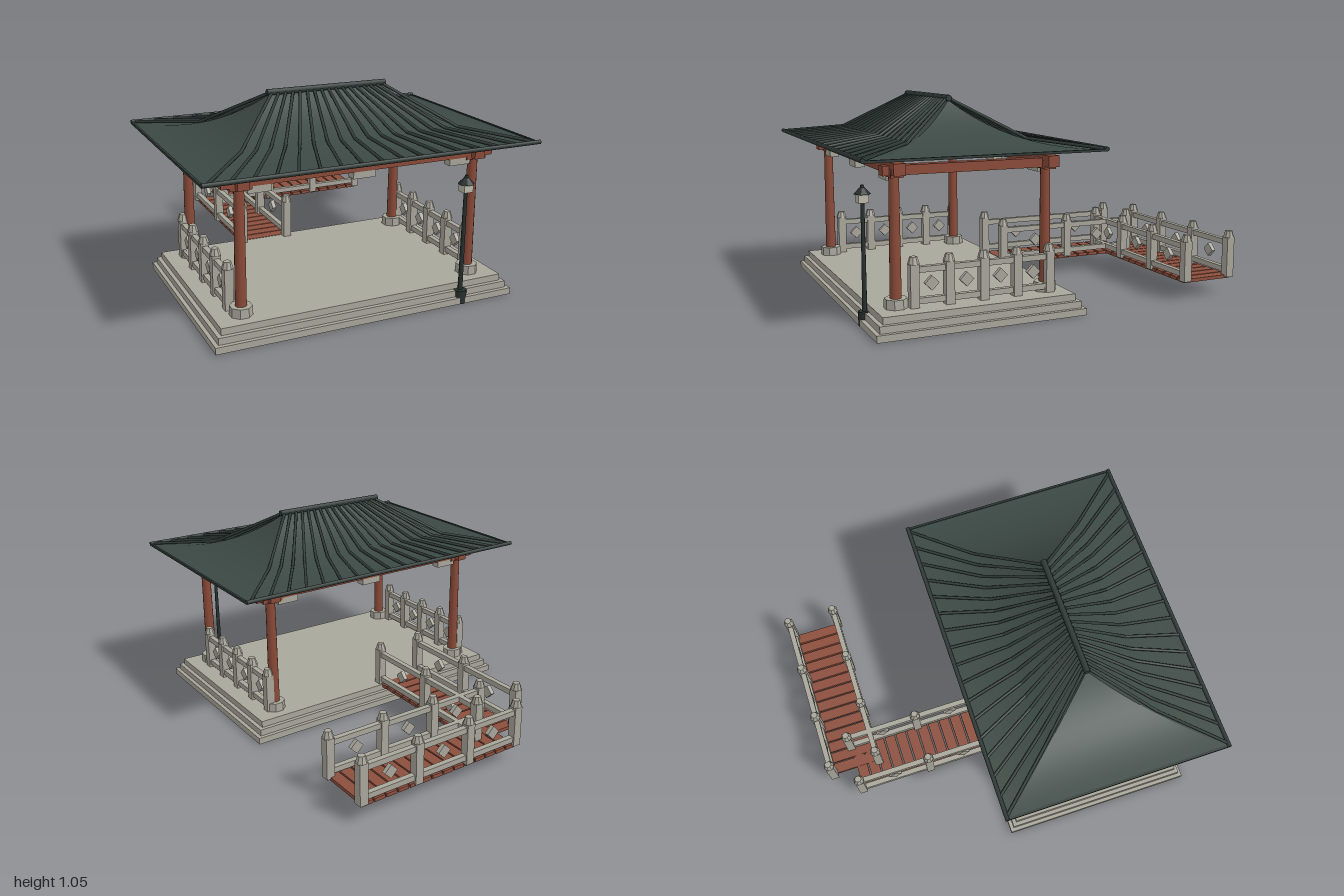
import * as THREE from 'three';

const mat = (name, color, side = THREE.FrontSide) => {
  const m = new THREE.MeshStandardMaterial({ color, side });
  m.name = name;
  return m;
};

export function createModel() {
  const model = new THREE.Group();
  model.name = 'gardenPavilion';
  const stone = mat('stone', 0xa9a79b);
  const wood = mat('redWood', 0x8a4a38);
  const plankWood = mat('plankWood', 0x8c4f3e);
  const tile = mat('roofTile', 0x3b4843, THREE.DoubleSide);
  const ribTile = mat('ribTile', 0x2e3936);
  const iron = mat('darkIron', 0x28302e);
  const lampGlass = mat('lampPanel', 0xbcbaa9);
  const CZ = 0.41; // pavilion centre line

  const add = (parent, name, geo, material, x = 0, y = 0, z = 0) => {
    const mesh = new THREE.Mesh(geo, material);
    mesh.name = name;
    mesh.position.set(x, y, z);
    parent.add(mesh);
    return mesh;
  };
  const box = (parent, name, m, w, h, d, x, y, z) =>
    add(parent, name, new THREE.BoxGeometry(w, h, d), m, x, y, z);
  const group = (name) => {
    const g = new THREE.Group();
    g.name = name;
    model.add(g);
    return g;
  };
  const octagon = (rTop, rBottom, h) => {
    const g = new THREE.CylinderGeometry(rTop, rBottom, h, 8).toNonIndexed();
    g.rotateY(Math.PI / 8);
    g.computeVertexNormals();
    return g;
  };
  // Round bar between two points
  const bar = (parent, name, m, a, b, r) => {
    const dir = b.clone().sub(a);
    const mid = a.clone().add(b).multiplyScalar(0.5);
    const mesh = add(parent, name, new THREE.CylinderGeometry(r, r, dir.length(), 8), m, mid.x, mid.y, mid.z);
    mesh.quaternion.setFromUnitVectors(new THREE.Vector3(0, 1, 0), dir.normalize());
  };

  // Stepped stone platform
  const platform = group('platform');
  [[0.783, 0.523], [0.763, 0.503], [0.742, 0.482]].forEach(([hx, hz], i) =>
    box(platform, 'step', stone, hx * 2, 0.0333, hz * 2, 0, 0.0167 + i * 0.0333, CZ));

  // Timber frame
  const frame = group('timberFrame');
  for (const z of [0.79, 0.03]) {
    for (const x of [-0.61, 0.61]) {
      add(frame, 'pillarFoot', octagon(0.054, 0.056, 0.045), stone, x, 0.1225, z);
      add(frame, 'pillar', new THREE.CylinderGeometry(0.024, 0.028, 0.62, 12), wood, x, 0.43, z);
      box(frame, 'pillarCap', wood, 0.108, 0.04, 0.06, x, 0.722, z);
    }
    box(frame, 'longBeam', wood, 1.404, 0.055, 0.056, 0, 0.742, z);
    for (const x of [-0.52, 0, 0.52])
      box(frame, 'beamBlock', stone, 0.115, 0.035, 0.05, x, 0.698, z);
  }
  for (const x of [-0.61, 0.61])
    box(frame, 'sideBeam', wood, 0.055, 0.045, 0.88, x, 0.732, CZ);

  // Sweeping hipped roof
  const roof = group('roof');
  const RX = 0.31, EX = 0.842, EZ = 0.585;
  const roofY = (t) => 0.802 + 0.218 * Math.pow(1 - t, 2.5);
  const lerp = THREE.MathUtils.lerp;
  // Panel from a top edge to a bottom edge; corners are [x, z], left to right from outside
  const panel = (name, a0, a1, b0, b1) => {
    const g = new THREE.PlaneGeometry(1, 1, 6, 12);
    const p = g.attributes.position;
    for (let i = 0; i < p.count; i++) {
      const u = p.getX(i) + 0.5, t = 0.5 - p.getY(i);
      p.setXYZ(i,
        lerp(lerp(a0[0], a1[0], u), lerp(b0[0], b1[0], u), t),
        roofY(t),
        CZ + lerp(lerp(a0[1], a1[1], u), lerp(b0[1], b1[1], u), t));
    }
    g.computeVertexNormals();
    add(roof, name, g, tile);
  };
  for (const s of [1, -1]) {
    panel('longSlope', [-s * RX, 0], [s * RX, 0], [-s * EX, s * EZ], [s * EX, s * EZ]);
    panel('hipSlope', [s * RX, 0], [s * RX, 0], [s * EX, s * EZ], [s * EX, -s * EZ]);
    // Tile ribs fanning out from the ridge
    for (let i = 0; i < 17; i++) {
      const k = i / 8 - 1;
      const at = (t) => new THREE.Vector3(k * lerp(0.305, 0.825, t), roofY(t) + 0.004, CZ + s * lerp(0.015, EZ, t));
      bar(roof, 'upperRib', ribTile, at(0), at(0.5), 0.008);
      bar(roof, 'lowerRib', ribTile, at(0.5), at(1), 0.008);
    }
    bar(roof, 'eaveRoll', ribTile, new THREE.Vector3(-0.845, 0.806, CZ + s * EZ),
      new THREE.Vector3(0.845, 0.806, CZ + s * EZ), 0.011);
    box(roof, 'sideEave', ribTile, 0.012, 0.012, EZ * 2, s * 0.839, 0.801, CZ);
  }
  bar(roof, 'ridge', ribTile, new THREE.Vector3(-0.32, 1.031, CZ), new THREE.Vector3(0.32, 1.031, CZ), 0.016);

  // Stone balustrade along local x; posts at the given offsets
  const railing = (name, posts) => {
    const g = group(name);
    const first = posts[0], last = posts[posts.length - 1];
    for (const x of posts) {
      box(g, 'post', stone, 0.043, 0.21, 0.043, x, 0.2, 0);
      add(g, 'postCap', octagon(0.018, 0.029, 0.035), stone, x, 0.32, 0);
    }
    for (const y of [0.13, 0.276])
      box(g, 'rail', stone, last - first, 0.028, 0.028, (first + last) / 2, y, 0);
    for (let i = 1; i < posts.length; i++) {
      const d = box(g, 'diamond', stone, 0.05, 0.05, 0.022, (posts[i] + posts[i - 1]) / 2, 0.208, 0);
      d.rotation.z = Math.PI / 4;
    }
    return g;
  };
  for (const x of [-0.645, 0.645]) {
    const r = railing('pavilionRailing', [-0.345, -0.1725, 0, 0.1725, 0.345]);
    r.position.set(x, 0, 0.37);
    r.rotation.y = Math.PI / 2;
  }
  for (const x of [-0.29, -0.03]) {
    const r = railing('walkwayRailing', [-0.4, 0, 0.4]);
    r.position.set(x, 0, -0.44);
    r.rotation.y = Math.PI / 2;
  }
  for (const z of [-0.975, -0.71])
    railing('bridgeRailing', [-0.16, 0.14, 0.44, 0.745]).position.z = z;

  // Plank decks of the L-shaped walkway
  const deck = group('walkwayDeck');
  for (let i = 0; i < 12; i++)
    box(deck, 'plank', plankWood, 0.27, 0.018, 0.058, -0.155, 0.093, -0.81 + i * 0.066);
  for (let i = 0; i < 14; i++)
    box(deck, 'plank', plankWood, 0.057, 0.018, 0.285, -0.127 + i * 0.065, 0.095, -0.844);

  // Lamp post at the front step
  const lamp = group('lampPost');
  lamp.position.set(0.5, 0, 0.905);
  add(lamp, 'lampFoot', new THREE.CylinderGeometry(0.032, 0.032, 0.068, 12), iron, 0, 0.034, 0);
  add(lamp, 'lampPole', new THREE.CylinderGeometry(0.009, 0.012, 0.52, 8), iron, 0, 0.32, 0);
  box(lamp, 'lampHead', lampGlass, 0.05, 0.045, 0.05, 0, 0.598, 0);
  add(lamp, 'lampRoof', octagon(0.012, 0.04, 0.03), iron, 0, 0.63, 0);
  add(lamp, 'lampFinial', new THREE.CylinderGeometry(0.008, 0.01, 0.014, 8), iron, 0, 0.65, 0);

  return model;
}
